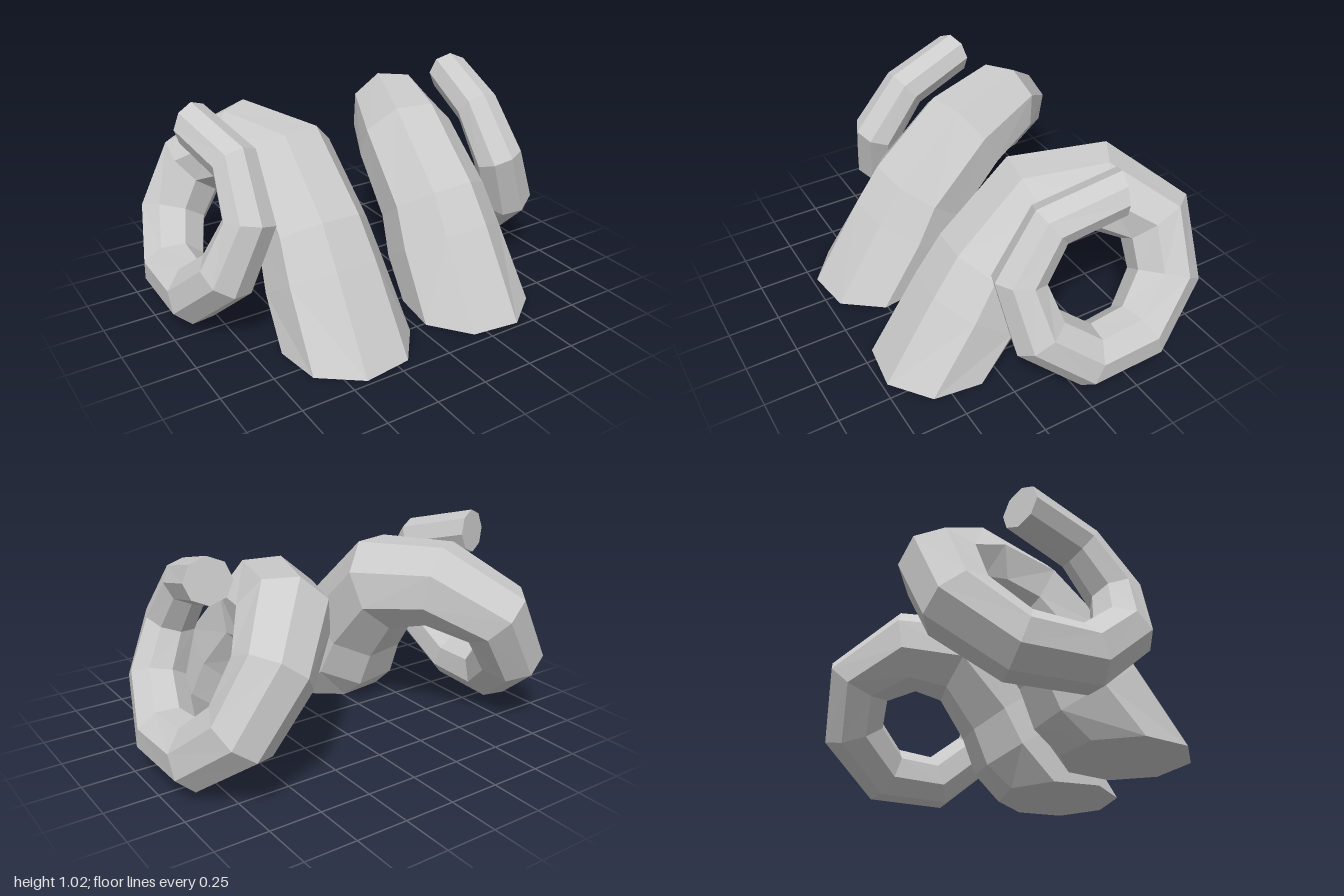
import * as THREE from 'three';

const SIDES = 8;

// Centre line of one horn, from the broad base to the blunt tip: x, y, z, radius
const PATH = [
  [0.34, 0.01, 0.432, 0.305],
  [0.34, 0.265, 0.24, 0.285],
  [0.34, 0.445, 0.14, 0.262],
  [0.335, 0.695, -0.10, 0.242],
  [0.435, 0.735, -0.375, 0.21],
  [0.615, 0.60, -0.575, 0.18],
  [0.755, 0.37, -0.55, 0.165],
  [0.85, 0.195, -0.34, 0.152],
  [0.86, 0.19, -0.05, 0.143],
  [0.79, 0.375, 0.165, 0.135],
  [0.69, 0.615, 0.205, 0.122],
  [0.67, 0.835, 0.05, 0.11],
  [0.73, 0.927, -0.27, 0.105],
];

// Sweep an octagon along the path, carrying its orientation without twist
function hornGeometry(side) {
  const centres = PATH.map(([x, y, z]) => new THREE.Vector3(x, y, z));
  const last = centres.length - 1;
  const tangents = centres.map((c, i) => {
    if (i === 0) return new THREE.Vector3(0, 1, 0); // base is cut level
    if (i === last) return new THREE.Vector3(0.33, 0.1, -0.93).normalize();
    const before = c.clone().sub(centres[i - 1]).normalize();
    const after = centres[i + 1].clone().sub(c).normalize();
    return before.add(after).normalize();
  });

  const spoke = new THREE.Vector3(0.26, 0, 0.97).normalize();
  const turn = new THREE.Quaternion();
  const positions = [];
  centres.forEach((c, i) => {
    if (i > 0) spoke.applyQuaternion(turn.setFromUnitVectors(tangents[i - 1], tangents[i]));
    for (let k = 0; k < SIDES; k++) {
      const p = spoke.clone()
        .applyAxisAngle(tangents[i], (k / SIDES) * Math.PI * 2)
        .multiplyScalar(PATH[i][3])
        .add(c);
      positions.push(p.x * side, p.y, p.z);
    }
  });

  const index = [];
  // Mirrored horns need the opposite corner order
  const face = (a, b, c) => (side > 0 ? index.push(a, b, c) : index.push(a, c, b));
  for (let i = 0; i < last; i++) {
    for (let k = 0; k < SIDES; k++) {
      const a = i * SIDES + k;
      const b = i * SIDES + ((k + 1) % SIDES);
      face(a, b, b + SIDES);
      face(a, b + SIDES, a + SIDES);
    }
  }
  // Flat caps on the base and the tip
  const tip = last * SIDES;
  for (let k = 1; k < SIDES - 1; k++) {
    face(0, k + 1, k);
    face(tip, tip + k, tip + k + 1);
  }

  const geometry = new THREE.BufferGeometry();
  geometry.setAttribute('position', new THREE.Float32BufferAttribute(positions, 3));
  geometry.setIndex(index);
  geometry.computeVertexNormals();
  return geometry;
}

export function createModel() {
  const group = new THREE.Group();
  group.name = 'curledHorns';
  const material = new THREE.MeshStandardMaterial({ color: 0xcccccc, flatShading: true });
  for (const [name, side] of [['leftHorn', 1], ['rightHorn', -1]]) {
    const horn = new THREE.Mesh(hornGeometry(side), material);
    horn.name = name;
    group.add(horn);
  }
  // Rest the model on the ground
  group.position.y = -new THREE.Box3().setFromObject(group).min.y;
  return group;
}
